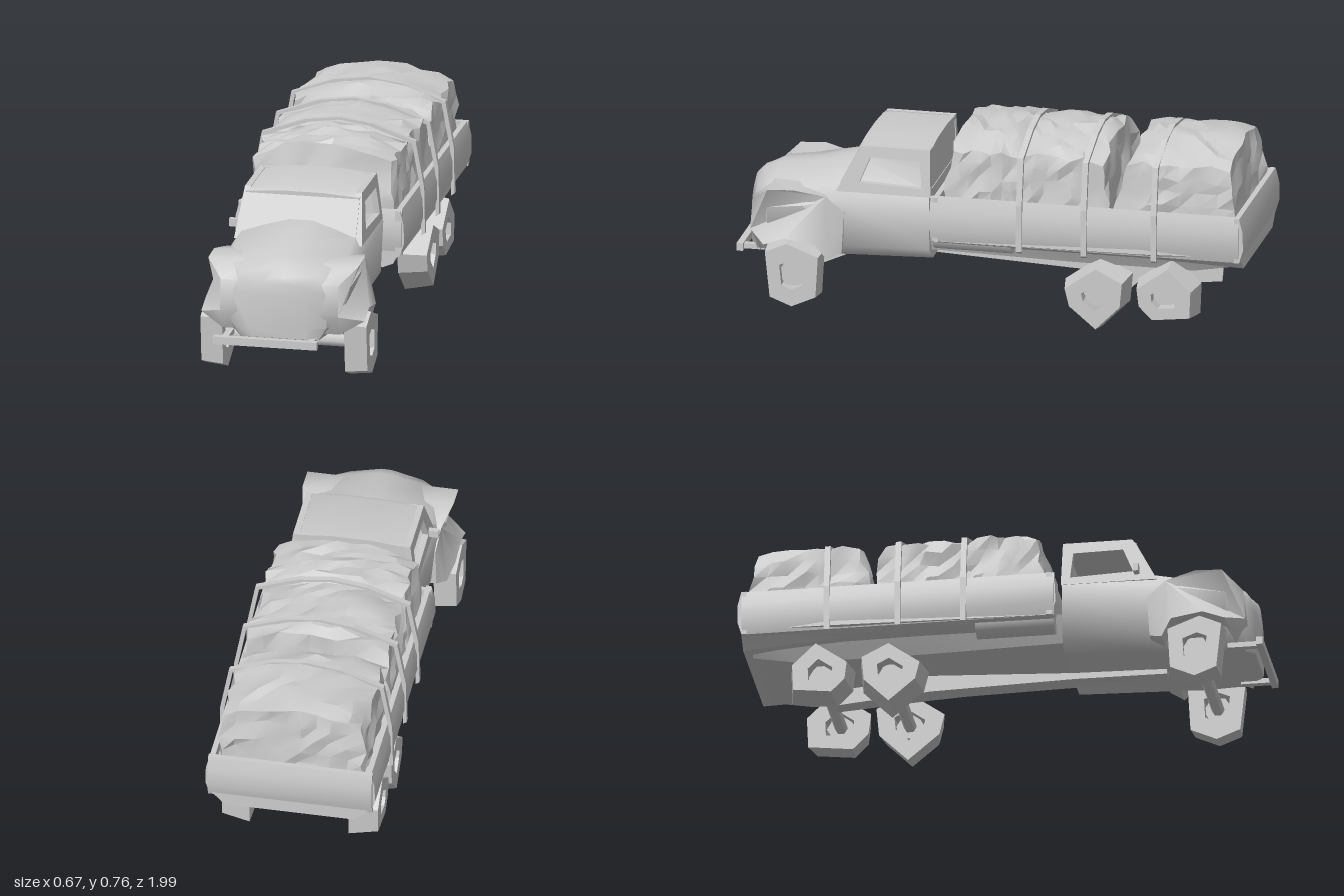
import * as THREE from 'three';
import { mergeVertices, toCreasedNormals } from 'three/addons/utils/BufferGeometryUtils.js';

const material = new THREE.MeshStandardMaterial({ color: 0xcccccc, side: THREE.DoubleSide });

function add(parent, name, geometry, x = 0, y = 0, z = 0) {
  const mesh = new THREE.Mesh(geometry, material);
  mesh.name = name;
  mesh.position.set(x, y, z);
  parent.add(mesh);
  return mesh;
}

// Skin over mirrored cross-sections: each is [z, [x, y] ...] from bottom to top on the +x side
function loft(sections, crease = 0.7) {
  const rings = sections.map(([z, ...pts]) => [
    ...pts.map(([x, y]) => [x, y, z]),
    ...pts.slice().reverse().map(([x, y]) => [-x, y, z]),
  ]);
  const n = rings[0].length, pos = rings.flat(2), idx = [];
  for (let r = 0; r < rings.length - 1; r++) for (let i = 0; i < n; i++) {
    const a = r * n + i, b = r * n + (i + 1) % n;
    idx.push(a, b, b + n, a, b + n, a + n);
  }
  const last = (rings.length - 1) * n, half = n / 2;
  for (let i = 0; i < half - 1; i++) {
    const j = n - 1 - i;
    idx.push(i, j, j - 1, i, j - 1, i + 1);
    idx.push(last + i, last + j - 1, last + j, last + i, last + i + 1, last + j - 1);
  }
  const g = new THREE.BufferGeometry();
  g.setAttribute('position', new THREE.Float32BufferAttribute(pos, 3));
  g.setIndex(idx);
  return toCreasedNormals(g, crease);
}

// Plate drawn in side view as [z, y] points, reaching from x0 to x1
function sidePlate(points, x0, x1, hole) {
  const vec = (list) => list.map(([z, y]) => new THREE.Vector2(z, y));
  const shape = new THREE.Shape(vec(points));
  if (hole) shape.holes.push(new THREE.Path(vec(hole)));
  const g = new THREE.ExtrudeGeometry(shape, { depth: x1 - x0, bevelEnabled: false });
  return g.rotateY(-Math.PI / 2).translate(x1, 0, 0);
}

function moveVertices(g, rule) {
  const p = g.attributes.position, v = new THREE.Vector3();
  for (let i = 0; i < p.count; i++) {
    rule(v.fromBufferAttribute(p, i));
    p.setXYZ(i, v.x, v.y, v.z);
  }
  g.computeVertexNormals();
  return g;
}

const hash = (x, y, z) => {
  const s = Math.sin(Math.round(x * 500) * 12.99 + Math.round(y * 500) * 78.23 + Math.round(z * 500) * 37.72) * 43758.5;
  return s - Math.floor(s) - 0.5;
};

// Crumpled, crowned bundle between two z positions, its front face leaning back by frontLean
function bundle(z0, z1, frontLean) {
  const bottom = 0.38, top = 0.705, mid = (z0 + z1) / 2, half = (z1 - z0) / 2;
  let g = new THREE.BoxGeometry(0.56, top - bottom, z1 - z0, 9, 6, 7);
  g.deleteAttribute('normal');
  g.deleteAttribute('uv');
  g = mergeVertices(g.translate(0, (top + bottom) / 2, mid));
  moveVertices(g, (v) => {
    const n1 = hash(v.x, v.y, v.z), n2 = hash(v.z, v.x, v.y), n3 = hash(v.y, v.z, v.x);
    const up = (v.y - bottom) / (top - bottom), along = (v.z - mid) / half, across = v.x / 0.28;
    v.y += up * (0.038 - 0.06 * across * across - 0.015 * along ** 4) + up * 0.024 * n1;
    v.x *= 1 - 0.05 * up * up;
    v.x += 0.024 * n2;
    v.z -= (along > 0 ? frontLean : 0.02) * along * up ** 2;
    v.z += 0.025 * n3;
  });
  return toCreasedNormals(g, 0.45);
}

export function createModel() {
  const truck = new THREE.Group();
  truck.name = 'cargoTruck';

  // Lower cab and tapering bonnet
  add(truck, 'bonnetAndLowerCab', loft([
    [0.235, [0.18, 0.22], [0.24, 0.27], [0.25, 0.47], [0.235, 0.5], [0.05, 0.5]],
    [0.57, [0.18, 0.21], [0.24, 0.26], [0.26, 0.45], [0.22, 0.51], [0.04, 0.56]],
    [0.72, [0.17, 0.2], [0.23, 0.25], [0.27, 0.42], [0.22, 0.48], [0.03, 0.52]],
    [0.86, [0.16, 0.2], [0.22, 0.25], [0.26, 0.4], [0.19, 0.47], [0.02, 0.505]],
    [0.92, [0.15, 0.2], [0.18, 0.25], [0.19, 0.38], [0.14, 0.45], [0.02, 0.48]],
    [0.95, [0.1, 0.21], [0.11, 0.25], [0.1, 0.38], [0.07, 0.42], [0.02, 0.45]],
  ], 0.9));

  // Upper cab: window frames, windscreen, back wall and roof
  const cab = new THREE.Group();
  cab.name = 'upperCab';
  truck.add(cab);
  for (const s of [-1, 1]) {
    const frame = sidePlate([[0.23, 0.48], [0.235, 0.66], [0.5, 0.66], [0.595, 0.48]], s * 0.235 - 0.012, s * 0.235 + 0.012,
      [[0.265, 0.51], [0.275, 0.615], [0.465, 0.618], [0.505, 0.52]]);
    add(cab, 'doorWindowFrame', moveVertices(frame, (v) => { v.x -= s * 0.12 * (v.y - 0.48); }));
  }
  add(cab, 'roof', loft([
    [0.235, [0.225, 0.64], [0.225, 0.655], [0.08, 0.67]],
    [0.49, [0.225, 0.64], [0.225, 0.655], [0.08, 0.665]],
    [0.515, [0.22, 0.635], [0.22, 0.645], [0.08, 0.655]],
  ]));
  add(cab, 'backWall', new THREE.BoxGeometry(0.45, 0.18, 0.015), 0, 0.57, 0.245);
  const screen = add(cab, 'windscreen', new THREE.BoxGeometry(0.44, 0.19, 0.012), 0, 0.565, 0.547);
  screen.rotation.x = -0.48;
  add(cab, 'doorMirror', new THREE.BoxGeometry(0.05, 0.03, 0.02), -0.255, 0.52, 0.52);

  // Front wings, leaning inwards at the top and narrowing at both ends
  for (const s of [-1, 1]) {
    const wing = sidePlate([[0.57, 0.24], [0.56, 0.4], [0.63, 0.46], [0.75, 0.485], [0.85, 0.48], [0.92, 0.42],
      [0.93, 0.3], [0.89, 0.22], [0.86, 0.27], [0.78, 0.3], [0.66, 0.28], [0.62, 0.22]], s * 0.22 - 0.095, s * 0.22 + 0.095);
    add(truck, 'frontWing', toCreasedNormals(moveVertices(wing, (v) => {
      const narrow = v.z > 0.88 ? 0.72 : v.z < 0.6 ? 0.82 : v.z < 0.64 ? 0.92 : 1;
      v.x *= narrow * (v.y > 0.45 ? 0.92 : 1);
    }), 0.9));
  }

  // Bumper with stays
  add(truck, 'frontBumper', new THREE.BoxGeometry(0.4, 0.03, 0.025), -0.04, 0.2, 0.985);
  for (const x of [-0.2, 0.13]) add(truck, 'bumperStay', new THREE.BoxGeometry(0.025, 0.02, 0.12), x, 0.2, 0.92);

  // Chassis with a propeller shaft
  add(truck, 'chassis', loft([
    [-0.95, [0.2, 0.28], [0.25, 0.35]],
    [-0.78, [0.2, 0.25], [0.26, 0.36]],
    [-0.3, [0.2, 0.25], [0.27, 0.36]],
    [0.26, [0.2, 0.26], [0.24, 0.36]],
  ]));
  add(truck, 'propellerShaft', loft([
    [-0.68, [0.03, 0.14], [0.03, 0.2]],
    [-0.3, [0.04, 0.17], [0.04, 0.235]],
    [0.25, [0.025, 0.19], [0.025, 0.215]],
    [0.6, [0.02, 0.19], [0.02, 0.21]],
  ]));
  for (const s of [-1, 1]) {
    const tank = add(truck, 'fuelTank', new THREE.CylinderGeometry(0.06, 0.06, 0.3, 8), s * 0.24, 0.34, 0.06);
    tank.rotation.x = Math.PI / 2;
  }

  // Cargo bed with bulging sides
  const bed = new THREE.Group();
  bed.name = 'cargoBed';
  truck.add(bed);
  add(bed, 'bedFloor', loft([
    [-0.98, [0.25, 0.29], [0.31, 0.35], [0.31, 0.46]],
    [-0.6, [0.27, 0.31], [0.32, 0.34], [0.31, 0.46]],
    [0.21, [0.27, 0.31], [0.31, 0.33], [0.3, 0.46]],
  ]));
  const wallProfile = (length) => {
    const s = new THREE.Shape([[0, 0.33], [0.015, 0.38], [0.014, 0.45], [0, 0.505], [-0.02, 0.505], [-0.02, 0.33]].map(([x, y]) => new THREE.Vector2(x, y)));
    return toCreasedNormals(new THREE.ExtrudeGeometry(s, { depth: length, bevelEnabled: false }).translate(0, 0, -length / 2), 0.8);
  };
  for (const s of [-1, 1]) {
    const wall = add(bed, 'sideWall', wallProfile(1.19), s * 0.31, 0, -0.38);
    if (s < 0) wall.rotation.y = Math.PI;
    const endWall = add(bed, s < 0 ? 'tailgate' : 'headboard', wallProfile(0.63), 0, 0, s < 0 ? -0.977 : 0.205);
    endWall.rotation.y = -s * Math.PI / 2;
  }

  // Covered load
  for (const [z0, z1, lean] of [[-0.14, 0.17, 0.03], [-0.465, -0.12, 0.01], [-0.95, -0.475, 0.065]]) {
    add(truck, 'loadBundle', bundle(z0, z1, lean));
  }

  // Flat straps arching over the load
  const outer = [[0.333, 0.32], [0.33, 0.5], [0.297, 0.68], [0.13, 0.74], [0, 0.757]];
  const inner = outer.map(([x, y]) => [Math.max(x - 0.014, 0), y - 0.01]).reverse();
  for (const z of [-0.65, -0.38, -0.13]) for (const s of [-1, 1]) {
    const shape = new THREE.Shape([...outer, ...inner].map(([x, y]) => new THREE.Vector2(s * x, y)));
    const band = new THREE.ExtrudeGeometry(shape, { depth: 0.022, bevelEnabled: false });
    add(truck, 'strap', band, 0, 0, z - 0.011);
  }

  // Rough six-sided wheels, smaller on the outer face, with a sunken hub and an axle
  const wheels = [
    ['frontWheel', 0.235, 0.32, 0.93, [[0.86, 0.25], [0.77, 0.29], [0.64, 0.24], [0.65, 0.07], [0.75, 0.025], [0.84, 0.06]]],
    ['middleWheel', 0.19, 0.3, 0.85, [[-0.28, 0.18], [-0.42, 0.28], [-0.54, 0.22], [-0.53, 0.11], [-0.42, 0.0], [-0.3, 0.1]]],
    ['rearWheel', 0.19, 0.3, 0.85, [[-0.56, 0.2], [-0.7, 0.3], [-0.805, 0.2], [-0.8, 0.08], [-0.63, 0.06], [-0.57, 0.12]]],
  ];
  for (const [name, inside, outside, taper, rim] of wheels) {
    const cz = rim.reduce((t, p) => t + p[0], 0) / 6, cy = rim.reduce((t, p) => t + p[1], 0) / 6;
    const hole = rim.map(([z, y]) => [cz + (z - cz) * 0.45, cy + (y - cy) * 0.45]);
    for (const s of [-1, 1]) {
      const [a, b] = s > 0 ? [inside, outside] : [-outside, -inside];
      const tyre = moveVertices(sidePlate(rim, a, b, hole), (v) => {
        if (Math.abs(v.x) < outside - 0.01) return;
        v.y = cy + (v.y - cy) * taper;
        v.z = cz + (v.z - cz) * taper;
      });
      add(truck, name, tyre);
      const hub = add(truck, name + 'Hub', new THREE.CylinderGeometry(0.055, 0.055, 0.03, 6), s * (inside + 0.04), cy, cz);
      hub.rotation.z = Math.PI / 2;
    }
    const axle = add(truck, name + 'Axle', new THREE.CylinderGeometry(0.025, 0.025, inside * 2 + 0.06, 6), 0, cy, cz);
    axle.rotation.z = Math.PI / 2;
  }
  return truck;
}
